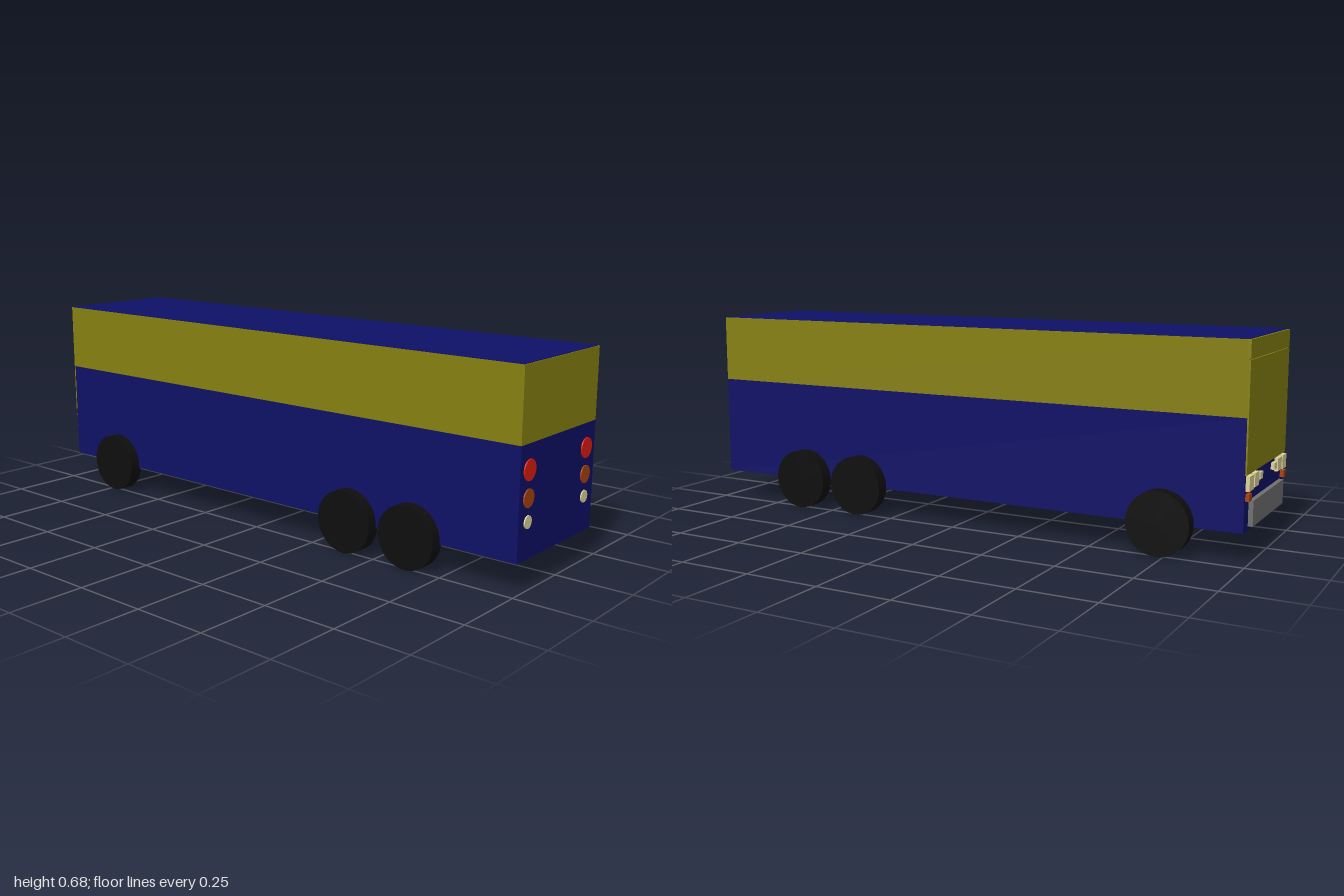
import * as THREE from 'three';

const mat = (color) => new THREE.MeshStandardMaterial({ color });

export function createModel() {
  const bus = new THREE.Group();
  bus.name = 'bus';
  const blue = mat(0x0e1066), olive = mat(0x86800f), black = mat(0x0e0e0e);
  const red = mat(0xdf1c0f), amber = mat(0xa8420e), cream = mat(0xddd49a), grey = mat(0x707070);

  // Box given by its limits on each axis
  const box = (name, material, [x0, x1], [y0, y1], [z0, z1]) => {
    const mesh = new THREE.Mesh(new THREE.BoxGeometry(x1 - x0, y1 - y0, z1 - z0), material);
    mesh.position.set((x0 + x1) / 2, (y0 + y1) / 2, (z0 + z1) / 2);
    mesh.name = name;
    bus.add(mesh);
  };
  // Cylinder lying along x or z
  const disc = (name, material, radius, depth, axis, x, y, z) => {
    const geometry = new THREE.CylinderGeometry(radius, radius, depth, 40);
    if (axis === 'x') geometry.rotateZ(Math.PI / 2);
    else geometry.rotateX(Math.PI / 2);
    const mesh = new THREE.Mesh(geometry, material);
    mesh.position.set(x, y, z);
    mesh.name = name;
    bus.add(mesh);
  };

  // Body, window band and roof
  const width = [-0.228, 0.22], mid = -0.004;
  box('lowerBody', blue, width, [0.095, 0.443], [-0.985, 0.996]);
  box('windowBand', olive, width, [0.443, 0.674], [-0.985, 0.996]);
  box('roof', blue, [-0.227, 0.213], [0.668, 0.676], [-0.982, 0.993]);

  // Windscreen with a sign panel above, separated by a narrow gap
  box('windscreen', olive, width, [0.272, 0.614], [-0.99, -0.98]);
  box('signPanel', olive, width, [0.617, 0.674], [-0.99, -0.98]);

  // Grille
  box('grille', grey, [mid - 0.177, mid + 0.177], [0.108, 0.188], [-1, -0.98]);

  for (const s of [-1, 1]) {
    // Headlamps and indicators: inner and outer distance from the middle, height limits
    const lamps = [
      ['outerHeadlamp', cream, 0.168, 0.215, 0.222, 0.268],
      ['middleHeadlamp', cream, 0.11, 0.157, 0.225, 0.268],
      ['innerHeadlamp', cream, 0.067, 0.098, 0.238, 0.26],
      ['indicator', amber, 0.186, 0.215, 0.192, 0.214],
    ];
    for (const [name, material, a, b, y0, y1] of lamps) {
      const xs = [mid + s * a, mid + s * b].sort((p, q) => p - q);
      box(name, material, xs, [y0, y1], [-0.997, -0.98]);
    }

    // Round lamps at the other end
    const x = -0.0065 + s * 0.1715;
    disc('redLamp', red, 0.0325, 0.01, 'z', x, 0.365, 0.995);
    disc('amberLamp', amber, 0.0285, 0.01, 'z', x, 0.281, 0.995);
    disc('whiteLamp', cream, 0.02, 0.01, 'z', x, 0.21, 0.995);

    // Wheels
    for (const z of [0.63, 0.39, -0.73])
      disc('wheel', black, 0.103, 0.045, 'x', s * 0.242, 0.103, z);
  }
  return bus;
}
